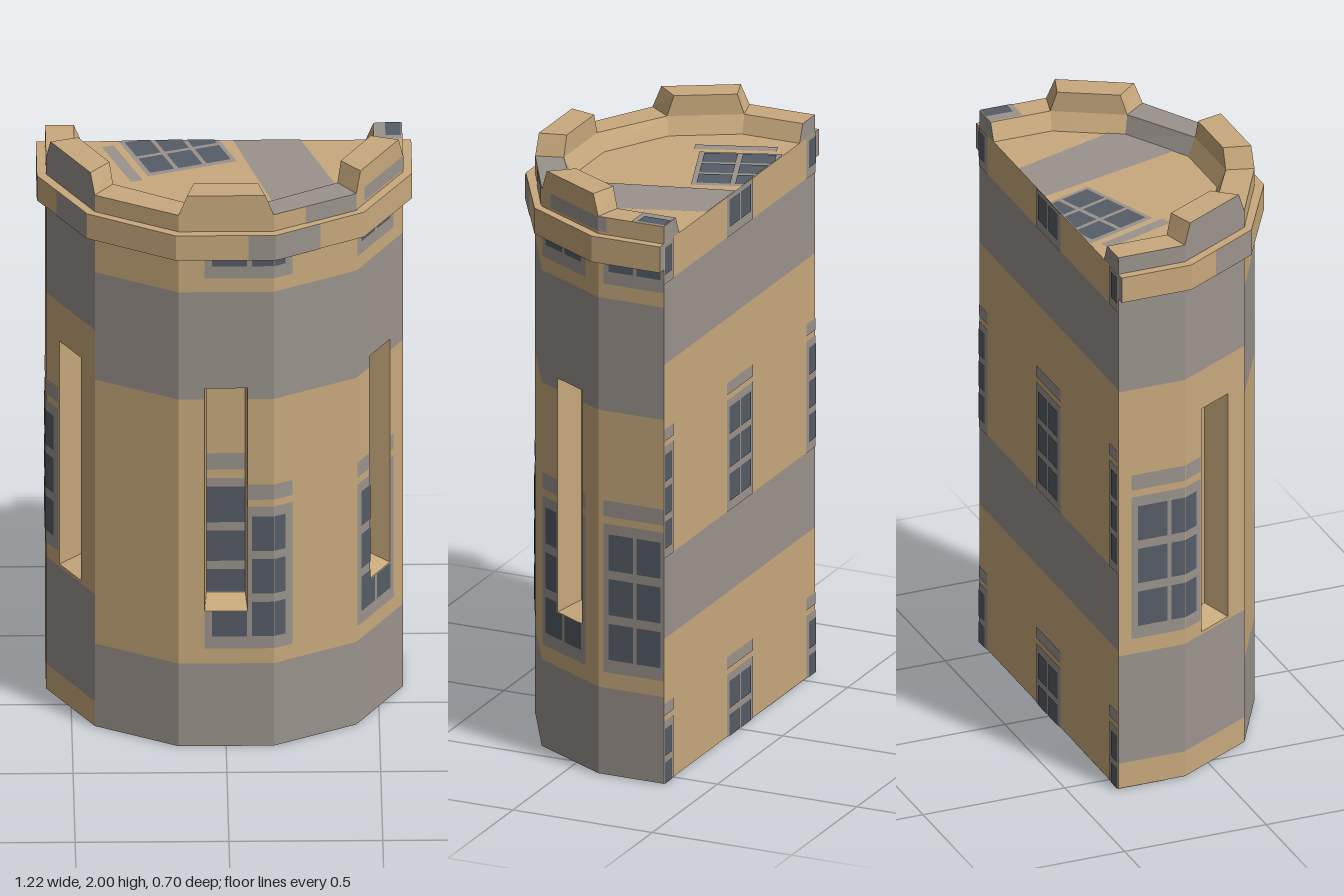
import * as THREE from 'three';

const mat = (name, color) => { const m = new THREE.MeshStandardMaterial({ color }); m.name = name; return m; };
const BACK = -0.345, LEDGE0 = 1.78, LEDGE1 = 1.87, RIM = 1.93, TOP = 2;

// Mirrored outline, running from the +x back corner round the front to the -x back corner
const outline = (half) => [...half, ...half.map(([x, z]) => [-x, z]).reverse()];
const body = outline([[0.58, BACK], [0.58, -0.11], [0.425, 0.165], [0.155, 0.315]]);
const ledge = outline([[0.61, BACK], [0.61, -0.1], [0.45, 0.18], [0.163, 0.345]]);
const rim = outline([[0.487, BACK], [0.487, -0.135], [0.365, 0.085], [0.128, 0.225]]);
const deck = outline([[0.462, BACK], [0.462, -0.14], [0.345, 0.07], [0.12, 0.197]]);

// Wall faces (the last one is the flat back) with running distance s along the perimeter
let run = 0;
const faces = body.map((a, i) => {
  const b = body[(i + 1) % body.length];
  const len = Math.hypot(b[0] - a[0], b[1] - a[1]);
  const t = [(b[0] - a[0]) / len, (b[1] - a[1]) / len];
  const f = { a, t, n: [-t[1], t[0]], len, s: run, slot: i === 1 || i === 3 || i === 5 };
  run += len;
  return f;
});
const SLOT = { half: 0.07, y0: 0.49, y1: 1.3, depth: 0.09 };
const onFace = (f, u, y, d = 0) => {
  const sign = f.t[0] * f.n[1] - f.t[1] * f.n[0] > 0 ? -1 : 1; // outward is to the right of travel
  return [f.a[0] + f.t[0] * u - sign * d * f.t[1] * -1 * -1, y, f.a[1] + f.t[1] * u + sign * d * f.t[0]];
};
const at = ([x, z], y) => [x, y, z];

export function createModel() {
  const group = new THREE.Group();
  group.name = 'halfTower';
  const tan = mat('tan plaster', 0xc8a97c);
  const grey = mat('grey stone', 0x9b938d);
  const glass = mat('dark glass', 0x565d67);

  // Collect convex polygons per part and colour
  const parts = new Map();
  const poly = (part, m, pts, flip = false) => {
    const key = part + m.name;
    if (!parts.has(key)) parts.set(key, { part, m, pos: [] });
    const p = flip ? [...pts].reverse() : pts;
    for (let i = 1; i < p.length - 1; i++) parts.get(key).pos.push(...p[0], ...p[i], ...p[i + 1]);
  };

  // Rectangle on the wall from s0 to s1, bent round the corners and cut out at the slots
  const wall = (part, m, s0, s1, y0, y1, lift = 0) => {
    for (const f of faces) {
      const u0 = Math.max(0, s0 - f.s), u1 = Math.min(f.len, s1 - f.s);
      const rect = (a, b, c, d) => {
        if (b - a < 1e-4 || d - c < 1e-4) return;
        poly(part, m, [onFace(f, b, c, lift), onFace(f, a, c, lift), onFace(f, a, d, lift), onFace(f, b, d, lift)]);
      };
      if (u1 - u0 < 1e-4) continue;
      const h0 = f.len / 2 - SLOT.half, h1 = f.len / 2 + SLOT.half;
      if (!f.slot || u1 <= h0 || u0 >= h1 || y1 <= SLOT.y0 || y0 >= SLOT.y1) { rect(u0, u1, y0, y1); continue; }
      const c = Math.max(y0, SLOT.y0), d = Math.min(y1, SLOT.y1);
      rect(u0, u1, y0, c);
      rect(u0, u1, d, y1);
      rect(u0, Math.min(u1, h0), c, d);
      rect(Math.max(u0, h1), u1, c, d);
    }
  };

  // Walls in horizontal bands
  const bands = (s0, s1, ys) => {
    for (let i = 0; i < ys.length - 2; i++) wall('wall', ys[0][i] === 'g' ? grey : tan, s0, s1, ys[i + 1], ys[i + 2]);
  };
  const sLeft = faces[5].s, sBack = faces[7].s;
  bands(0, sLeft, ['gtgt', 0, 0.3, 1.26, 1.65, RIM]);
  bands(sLeft, sBack, ['tgtg', 0, 0.09, 0.48, 1.44, RIM]);
  bands(sBack, run, ['tgtgt', 0, 0.5, 0.78, 1.45, 1.73, LEDGE1]);

  // Painted windows: frame, lintel and two columns of three panes
  const windowPaint = (s0, s1, base, k, top, cut0 = 0, cut1 = run) => {
    const w = s1 - s0;
    const paint = (m, a, b, c, d, lift) => wall('window', m, Math.max(a, cut0), Math.min(b, cut1),
      Math.max(0, base + c * k), Math.min(top, base + d * k), lift);
    paint(grey, s0, s1, 0, 0.515, 0.002);
    paint(grey, s0, s1, 0.54, 0.595, 0.002);
    for (let c = 0; c < 2; c++) for (let r = 0; r < 3; r++) {
      const a = s0 + w * (0.09 + 0.44 * c), y = 0.045 + 0.155 * r;
      paint(glass, a, a + w * 0.385, y, y + 0.125, 0.004);
    }
  };
  for (const base of [0.355, 1.7]) {
    windowPaint(0.791, 1.085, base, 1, LEDGE0);
    windowPaint(0.304, 0.545, base, 1, LEDGE0);
    windowPaint(-0.01, 0.215, base, 1, LEDGE0);
  }
  windowPaint(1.714, 1.984, 0.535, 1, LEDGE0);
  for (const base of [-0.17, 0.78, 1.73]) for (const x of [-0.61, 0, 0.61]) {
    const s = sBack + 0.58 + x;
    windowPaint(s - 0.1, s + 0.1, base, 0.75, LEDGE1, sBack);
  }

  // Deep slots with sloping sills
  for (const f of faces.filter((q) => q.slot)) {
    const ring = (h, y0, y1, d) => [[h, y0], [-h, y0], [-h, y1], [h, y1]].map(([u, y]) => onFace(f, f.len / 2 + u, y, d));
    const o = ring(SLOT.half, SLOT.y0, SLOT.y1, 0), q = ring(0.063, 0.515, 1.26, -SLOT.depth);
    poly('slot', tan, q);
    for (let k = 0; k < 4; k++) poly('slot', tan, [o[k], o[(k + 1) % 4], q[(k + 1) % 4], q[k]]);
    if (f === faces[3]) {
      poly('slotPaint', grey, ring(0.063, 0.515, 0.93, -0.088));
      poly('slotPaint', grey, ring(0.063, 0.96, 1.02, -0.088));
      for (const [a, b] of [[0.52, 0.6], [0.63, 0.74], [0.77, 0.9]]) poly('slotPaint', glass, ring(0.063, a, b, -0.086));
    }
  }

  // Ledge, parapet and merlons
  for (let i = 0; i < 7; i++) {
    const j = i + 1, m = i === 2 ? grey : tan;
    const L = [ledge[i], ledge[j]], B = [body[i], body[j]], R = [rim[i], rim[j]], D = [deck[i], deck[j]];
    poly('ledge', tan, [at(L[1], LEDGE0), at(L[0], LEDGE0), at(L[0], LEDGE1), at(L[1], LEDGE1)]);
    poly('ledge', tan, [at(L[0], LEDGE0), at(L[1], LEDGE0), at(B[1], LEDGE0), at(B[0], LEDGE0)]);
    poly('ledge', tan, [at(L[0], LEDGE1), at(L[1], LEDGE1), at(B[1], LEDGE1), at(B[0], LEDGE1)], true);
    poly('parapet', m, [at(B[0], RIM), at(B[1], RIM), at(R[1], RIM), at(R[0], RIM)], true);
    poly('parapet', m, [at(D[0], LEDGE1), at(D[1], LEDGE1), at(R[1], RIM), at(R[0], RIM)]);
    if (!faces[i].slot) continue;
    const mix = (p, t) => [p[0][0] + (p[1][0] - p[0][0]) * t, p[0][1] + (p[1][1] - p[0][1]) * t];
    const lo = [B[0], B[1], R[1], R[0]].map((p) => at(p, RIM));
    const hi = [mix(B, 0.09), mix(B, 0.91), mix(R, 0.91), mix(R, 0.09)].map((p) => at(p, TOP));
    poly('merlon', tan, hi, true);
    for (let k = 0; k < 4; k++) {
      const n = (k + 1) % 4;
      poly('merlon', i === 5 && k === 0 ? grey : tan, [lo[n], lo[k], hi[k], hi[n]]);
    }
  }
  for (const [k, flip] of [[0, false], [7, true]]) {
    poly('ledgeEnd', grey, [at(ledge[k], LEDGE0), at(body[k], LEDGE0), at(body[k], LEDGE1), at(ledge[k], LEDGE1)], flip);
    poly('parapetEnd', grey, [at(body[k], LEDGE1), at(deck[k], LEDGE1), at(rim[k], RIM), at(body[k], RIM)], flip);
  }
  wall('parapetPaint', grey, 0.205, 0.5, 1.88, RIM, 0.002);
  wall('parapetPaint', grey, faces[2].s, faces[2].s + 0.19, LEDGE1, RIM, 0.002);

  // Grey patches on the ledge face
  const ledgePatch = (i, t0, t1) => {
    const a = ledge[i], b = ledge[i + 1], n = faces[i].n;
    const p = (t, y) => [a[0] + (b[0] - a[0]) * t - n[0] * 0.002, y, a[1] + (b[1] - a[1]) * t + Math.abs(n[1]) * 0.002];
    poly('ledgePaint', grey, [p(t1, LEDGE0), p(t0, LEDGE0), p(t0, LEDGE1), p(t1, LEDGE1)]);
  };
  ledgePatch(3, 0, 0.28);
  ledgePatch(2, 0.5, 1);
  ledgePatch(5, 0.0, 0.6);

  // Roof deck and underside
  poly('roofDeck', tan, deck.map((p) => at(p, LEDGE1)), true);
  poly('underside', tan, body.map((p) => at(p, 0)));
  poly('roofStripe', grey, [[0.03, BACK], [0.25, BACK], [0.373, 0.02], [0.345, 0.07], [0.17, 0.169]].map((p) => at(p, LEDGE1 + 0.002)), true);
  poly('undersideStripe', grey, [[-0.2, BACK], [-0.58, BACK], [-0.58, -0.18]].map((p) => at(p, -0.002 + 0.001)), false);

  // Tilted window painted on a flat surface, trimmed at the back edge
  const trim = (pts) => pts.flatMap((p, i) => {
    const q = pts[(i + 1) % pts.length], out = p[1] >= BACK ? [p] : [];
    if ((p[1] >= BACK) !== (q[1] >= BACK)) out.push([p[0] + (q[0] - p[0]) * (BACK - p[1]) / (q[1] - p[1]), BACK]);
    return out;
  });
  const flatWindow = (part, cx, cz, y, dir, k, lintel) => {
    const rect = (m, e, f, he, hf, lift) => {
      const pts = [[-1, 1], [1, 1], [1, -1], [-1, -1]].map(([a, b]) => {
        const u = (e + a * he) * k, v = (f + b * hf) * k;
        return [cx + u * 0.94 + v * 0.34, cz - u * 0.34 + v * 0.94];
      });
      poly(part, m, trim(pts).map((p) => at(p, y + dir * lift)), dir < 0);
    };
    rect(grey, 0, 0, 0.155, 0.135, 0.002);
    if (lintel) rect(grey, -0.2, 0.02, 0.02, 0.135, 0.002);
    for (const e of [-0.098, 0, 0.098]) for (const f of [-0.063, 0.063]) rect(glass, e, f, 0.042, 0.055, 0.004);
  };
  flatWindow('roofWindow', -0.15, -0.265, LEDGE1, 1, 1, true);
  flatWindow('undersideWindow', 0.4, -0.19, 0, -1, 0.85, false);
  flatWindow('undersideWindow', -0.32, -0.02, 0, -1, 0.85, false);

  // Small painted corner on the parapet top
  const patch = (m, x0, x1, z0, z1, lift) =>
    poly('parapetTopPaint', m, [[x0, z1], [x1, z1], [x1, z0], [x0, z0]].map((p) => at(p, RIM + lift)));
  patch(grey, 0.49, 0.58, BACK, -0.23, 0.002);
  patch(glass, 0.525, 0.575, BACK, -0.25, 0.004);

  for (const { part, m, pos } of parts.values()) {
    const g = new THREE.BufferGeometry();
    g.setAttribute('position', new THREE.Float32BufferAttribute(pos, 3));
    g.computeVertexNormals();
    const mesh = new THREE.Mesh(g, m);
    mesh.name = part;
    group.add(mesh);
  }
  return group;
}
